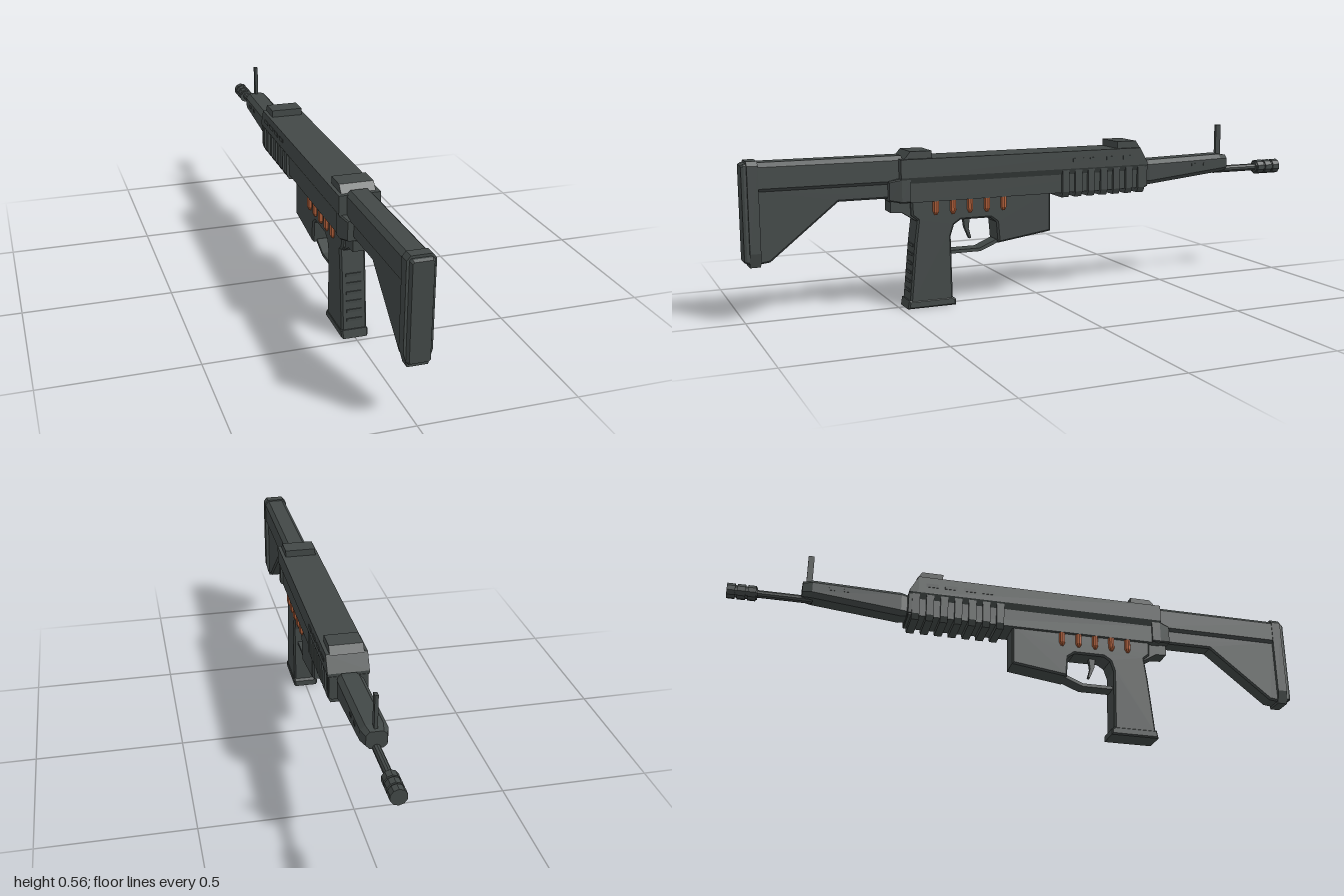
import * as THREE from 'three';

const gunmetal = new THREE.MeshStandardMaterial({ color: 0x424847 });
gunmetal.name = 'gunmetal';
const copper = new THREE.MeshStandardMaterial({ color: 0xb5623c });
copper.name = 'copper';
gunmetal.flatShading = copper.flatShading = true;

export function createModel() {
  const model = new THREE.Group();
  model.name = 'rifle';

  function add(name, geometry, x = 0, y = 0, z = 0, material = gunmetal) {
    const mesh = new THREE.Mesh(geometry, material);
    mesh.name = name;
    mesh.position.set(x, y, z);
    model.add(mesh);
    return mesh;
  }
  const box = (name, w, h, d, x, y, z) => add(name, new THREE.BoxGeometry(w, h, d), x, y, z);

  // Side profile of [z, y] points, given a width across x and chamfered edges
  function plate(name, points, half, bevel = 0) {
    const shape = new THREE.Shape(points.map(p => new THREE.Vector2(p[0], p[1])));
    const depth = 2 * (half - bevel);
    const geo = new THREE.ExtrudeGeometry(shape, {
      depth, bevelEnabled: bevel > 0, bevelSegments: 1,
      bevelSize: bevel, bevelThickness: bevel, bevelOffset: -bevel,
    });
    geo.translate(0, 0, -depth / 2);
    geo.rotateY(-Math.PI / 2);
    return add(name, geo);
  }

  // Mirrored cross-sections, each [z, right side points from top to bottom], from +z to -z
  function loft(name, sections) {
    const rings = sections.map(([z, half]) => [
      ...half.map(([x, y]) => [x, y, z]),
      ...half.slice().reverse().map(([x, y]) => [-x, y, z]),
    ]);
    const n = rings[0].length;
    const pos = [];
    const tri = (...corners) => corners.forEach(c => pos.push(...c));
    const middle = ring => [0, ring.reduce((s, p) => s + p[1], 0) / n, ring[0][2]];
    const first = rings[0], last = rings[rings.length - 1];
    for (let i = 0; i < n; i++) {
      const j = (i + 1) % n;
      for (let k = 0; k < rings.length - 1; k++) {
        const a = rings[k], b = rings[k + 1];
        tri(a[i], a[j], b[i]);
        tri(a[j], b[j], b[i]);
      }
      tri(middle(first), first[j], first[i]);
      tri(middle(last), last[i], last[j]);
    }
    const geo = new THREE.BufferGeometry();
    geo.setAttribute('position', new THREE.Float32BufferAttribute(pos, 3));
    geo.computeVertexNormals();
    return add(name, geo);
  }
  // Rectangle section with cut corners
  const cut = (w, low, high, c) => [[w - c, high], [w, high - c], [w, low + c], [w - c, low]];

  // Stock
  loft('stockBeam', [[0.96, cut(0.041, 0.415, 0.51, 0.014)], [0.49, cut(0.041, 0.415, 0.51, 0.014)]]);
  plate('stockWeb', [[0.96, 0.19], [0.92, 0.195], [0.7, 0.372], [0.5, 0.372], [0.5, 0.43], [0.96, 0.43]], 0.031, 0.006);
  const padSection = (w, low, high) => [[w - 0.012, high], [w, high - 0.014], [w, low + 0.045], [w - 0.012, low]];
  loft('buttPad', [[0.984, padSection(0.043, 0.183, 0.515)], [0.95, padSection(0.043, 0.183, 0.515)]]);
  loft('buttPlate', [
    [1.0, cut(0.031, 0.2, 0.502, 0.005)],
    [0.992, cut(0.035, 0.195, 0.507, 0.006)],
    [0.98, cut(0.035, 0.195, 0.507, 0.006)],
  ]);

  // Receiver
  const receiver = top => [[0.067, top], [0.067, 0.44], [0.055, 0.42], [0.055, 0.357]];
  loft('receiver', [[0.503, receiver(0.5)], [-0.372, receiver(0.5)], [-0.402, receiver(0.447)]]);
  loft('receiverRear', [
    [0.538, cut(0.05, 0.365, 0.43, 0.004)],
    [0.5, cut(0.063, 0.358, 0.438, 0.004)],
    [0.47, cut(0.063, 0.358, 0.438, 0.004)],
  ]);
  plate('rearTab', [[0.53, 0.36], [0.53, 0.325], [0.49, 0.322], [0.44, 0.29], [0.44, 0.36]], 0.03);

  // Sight blocks on top
  plate('rearSightBase', [[0.49, 0.498], [0.468, 0.524], [0.395, 0.524], [0.395, 0.498]], 0.055);
  plate('frontSightBase', [[-0.287, 0.498], [-0.287, 0.524], [-0.36, 0.524], [-0.378, 0.498]], 0.055);

  // Cooling ribs wrapped round the forward receiver
  const ribSection = [[0.064, 0.438], [0.065, 0.36], [0.055, 0.341]];
  for (let i = 0; i < 7; i++) {
    const z = -0.085 - i * 0.049;
    loft('coolingRib', [[z + 0.013, ribSection], [z - 0.013, ribSection]]);
  }
  box('ribFrontPlate', 0.125, 0.075, 0.012, 0, 0.4, -0.398);

  // Vents on both sides
  for (const side of [-1, 1]) {
    for (let i = 0; i < 4; i++) {
      box('receiverVent', 0.003, 0.013, 0.042, side * 0.0675, 0.469, -0.13 - i * 0.065);
    }
    for (const z of [-0.61, -0.66]) box('handguardVent', 0.003, 0.01, 0.02, side * 0.0425, 0.425, z);
  }

  // Grip, trigger opening and magazine housing in one profile
  plate('lowerBody', [
    [0.465, 0.37], [0.462, 0.312], [0.442, 0.295], [0.452, 0.22], [0.472, 0.015], [0.322, 0.015],
    [0.327, 0.235], [0.315, 0.272], [0.292, 0.287], [0.185, 0.287], [0.163, 0.27],
    [0.157, 0.198], [-0.037, 0.225], [-0.037, 0.37],
  ], 0.042, 0.006);
  plate('gripBase', [[0.48, 0], [0.475, 0.028], [0.325, 0.028], [0.312, 0.02], [0.312, 0]], 0.044, 0.005);
  for (let i = 0; i < 6; i++) {
    box('gripNotch', 0.05, 0.01, 0.006, 0, 0.06 + i * 0.03, 0.468 - i * 0.003);
  }
  plate('triggerGuard', [
    [0.33, 0.183], [0.22, 0.183], [0.16, 0.208], [0.14, 0.203], [0.217, 0.172], [0.33, 0.172],
  ], 0.026);
  plate('trigger', [
    [0.272, 0.295], [0.267, 0.255], [0.25, 0.215], [0.243, 0.217], [0.252, 0.25], [0.247, 0.295],
  ], 0.008);

  // Cartridges held along both sides
  for (const side of [-1, 1]) {
    for (let i = 0; i < 5; i++) {
      const z = 0.38 - i * 0.06;
      add('cartridgeCase', new THREE.CylinderGeometry(0.011, 0.011, 0.036, 8), side * 0.044, 0.34, z, copper);
      add('cartridgeTip', new THREE.CylinderGeometry(0.011, 0.005, 0.012, 8), side * 0.044, 0.316, z, copper);
    }
  }

  // Handguard tapering to the front
  loft('handguard', [
    [-0.395, cut(0.034, 0.366, 0.444, 0.012)],
    [-0.425, cut(0.042, 0.362, 0.45, 0.015)],
    [-0.725, cut(0.042, 0.392, 0.457, 0.015)],
    [-0.757, cut(0.032, 0.396, 0.452, 0.012)],
  ]);
  box('frontSightPost', 0.011, 0.12, 0.02, 0, 0.502, -0.735);

  // Barrel and muzzle brake
  const tube = (name, radius, from, to, sides) => add(name,
    new THREE.CylinderGeometry(radius, radius, from - to, sides).rotateX(Math.PI / 2), 0, 0.397, (from + to) / 2);
  tube('barrel', 0.013, -0.72, -0.92, 10);
  tube('muzzleCore', 0.021, -0.9, -0.998, 10);
  for (let i = 0; i < 3; i++) tube('muzzleRing', 0.026, -0.905 - i * 0.034, -0.932 - i * 0.034, 10);

  return model;
}
